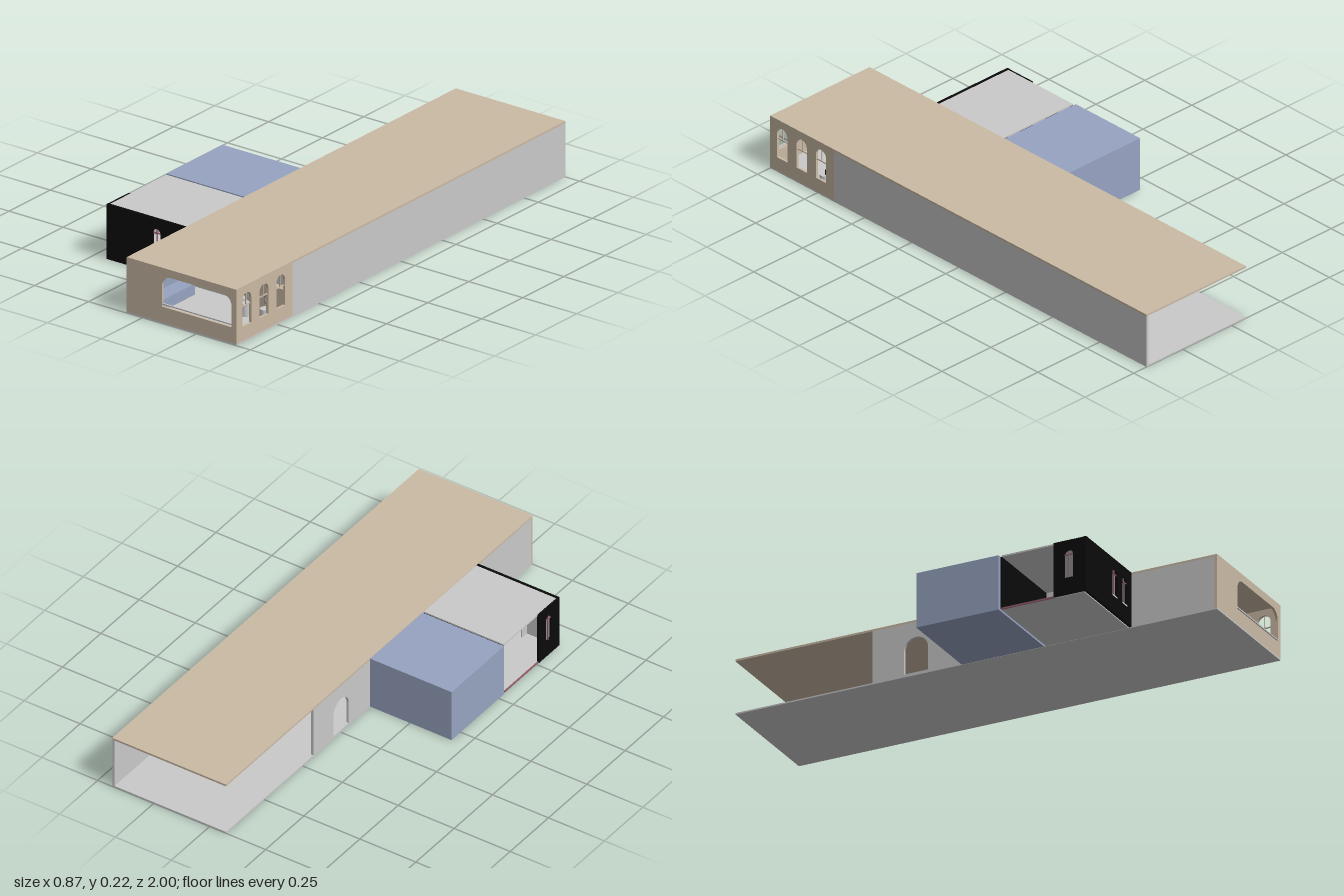
import * as THREE from 'three';

const mat = (name, color) => {
  const m = new THREE.MeshStandardMaterial({ color });
  m.name = name;
  return m;
};

export function createModel() {
  const tan = mat('tan plaster', 0xcbbaa5), grey = mat('light grey', 0xc9c9c9);
  const blue = mat('slate blue', 0x97a3c1), black = mat('black', 0x0a0a0a);
  const pink = mat('dusty pink', 0x96606e), white = mat('off white', 0xeeeae6);
  const root = new THREE.Group();

  const add = (name, geo, material) => {
    const mesh = new THREE.Mesh(geo, material);
    mesh.name = name;
    root.add(mesh);
    return mesh;
  };
  // Box given by its minimum and maximum corners
  const box = (name, m, x0, x1, y0, y1, z0, z1) => {
    const b = add(name, new THREE.BoxGeometry(x1 - x0, y1 - y0, z1 - z0), m);
    b.position.set((x0 + x1) / 2, (y0 + y1) / 2, (z0 + z1) / 2);
    return b;
  };
  // Round-topped opening
  const arch = (c, half, y0, top) => {
    const p = new THREE.Path();
    p.moveTo(c - half, y0);
    p.lineTo(c + half, y0);
    p.lineTo(c + half, top - half);
    p.absarc(c, top - half, half, 0, Math.PI, false);
    p.lineTo(c - half, y0);
    return p;
  };
  const panel = (u0, u1, y0, y1, holes, depth) => {
    const s = new THREE.Shape();
    s.moveTo(u0, y0);
    s.lineTo(u1, y0);
    s.lineTo(u1, y1);
    s.lineTo(u0, y1);
    s.closePath();
    s.holes.push(...holes);
    return new THREE.ExtrudeGeometry(s, { depth, bevelEnabled: false, curveSegments: 10 });
  };
  // Wall across x, its back at z
  const wallX = (name, m, x0, x1, y0, y1, z, holes = [], depth = 0.01) => {
    add(name, panel(x0, x1, y0, y1, holes, depth), m).position.z = z;
  };
  // Wall along z, its +x face at x
  const wallZ = (name, m, z0, z1, y0, y1, x, holes = [], depth = 0.01) => {
    const w = add(name, panel(z0, z1, y0, y1, holes, depth), m);
    w.rotation.y = -Math.PI / 2;
    w.position.x = x;
  };

  const L = -0.073, R = 0.435, H = 0.224, T = 0.216, F = 0.006;

  // Long hall, open at the back and along the rear of one side
  box('hallFloor', grey, L, R, 0, F, -1, 1);
  box('hallRoof', tan, L, R, T, H, -1, 1);
  wallZ('hallSideWall', grey, -1, 0.66, F, T, R);
  wallZ('hallInnerWall', grey, -0.43, 0.99, F, T, L + 0.01, [arch(-0.25, 0.05, 0.012, 0.155)]);

  // Front wall with the wide window
  const wide = new THREE.Path();
  wide.moveTo(0.09, 0.068);
  wide.lineTo(0.413, 0.068);
  wide.lineTo(0.413, 0.152);
  wide.absarc(0.373, 0.152, 0.04, 0, Math.PI / 2, false);
  wide.lineTo(0.13, 0.192);
  wide.absarc(0.13, 0.152, 0.04, Math.PI / 2, Math.PI, false);
  wide.lineTo(0.09, 0.068);
  wallX('frontWall', tan, L, R, F, T, 0.99, [wide]);
  box('frontWindowRail', grey, 0.09, 0.413, 0.075, 0.08, 0.992, 0.998);

  // Side wall with three arched windows and their bars
  const centres = [0.73, 0.832, 0.936];
  wallZ('windowWall', tan, 0.66, 0.99, F, T, R, centres.map(c => arch(c, 0.027, 0.062, 0.192)));
  for (const c of centres) {
    box('windowCrossbar', tan, R - 0.007, R - 0.003, 0.14, 0.144, c - 0.027, c + 0.027);
    box('windowMullion', tan, R - 0.007, R - 0.003, 0.144, 0.191, c - 0.0015, c + 0.0015);
  }

  // Partition with a wide round archway
  const doorway = new THREE.Path();
  doorway.moveTo(0.115, 0.012);
  doorway.lineTo(0.248, 0.012);
  doorway.lineTo(0.248, 0.09);
  doorway.absellipse(0.1815, 0.09, 0.0665, 0.084, 0, Math.PI, false);
  doorway.lineTo(0.115, 0.012);
  wallX('partition', grey, L + 0.01, R - 0.01, F, T, 0.65, [doorway]);

  // Furniture in the front room
  box('counter', tan, 0.25, R - 0.01, F, 0.115, 0.66, 0.69);
  box('sofaSeat', blue, L + 0.012, 0.03, F, 0.05, 0.72, 0.94);
  box('sofaBack', blue, L + 0.012, -0.035, 0.05, 0.1, 0.72, 0.94);
  for (const x of [0.295, 0.385]) {
    const seat = add('chairSeat', new THREE.CylinderGeometry(0.02, 0.02, 0.05, 20), grey);
    seat.position.set(x, F + 0.025, 0.76);
    const back = add('chairBack', new THREE.CylinderGeometry(0.019, 0.019, 0.005, 24), grey);
    back.rotation.x = Math.PI / 2;
    back.position.set(x, 0.08, 0.738);
    add('chairRim', new THREE.TorusGeometry(0.019, 0.0025, 8, 28), black).position.set(x, 0.08, 0.738);
  }

  // Closed blue side room
  box('blueRoom', blue, -0.437, L, 0.001, 0.222, -0.06, 0.282);

  // Grey side room, partly open on its outer side
  const A = -0.43;
  box('annexFloor', grey, A, L, 0.001, F, 0.29, 0.633);
  box('annexRoof', grey, A, L, T, 0.222, 0.29, 0.633);
  box('annexBackWall', black, A, L, F, T, 0.286, 0.292);
  const slots = [-0.206, -0.128];
  const slotHoles = slots.map(c => arch(c, 0.019, 0.07, 0.182));
  wallX('annexFrontWall', black, -0.437, L, 0.003, 0.223, 0.635, slotHoles);
  wallX('annexFrontLining', grey, A, L, F, T, 0.631, slotHoles, 0.004);
  wallZ('annexSideWall', black, 0.51, 0.635, 0.003, 0.222, A + 0.001, [arch(0.572, 0.018, 0.07, 0.182)], 0.008);
  box('annexThreshold', pink, A - 0.004, A, 0.001, 0.008, 0.29, 0.51);

  // Slim window frames of the side room
  for (const c of slots) {
    box('slotCrossbar', pink, c - 0.019, c + 0.019, 0.162, 0.166, 0.638, 0.642);
    box('slotMullion', pink, c - 0.0015, c + 0.0015, 0.074, 0.18, 0.638, 0.642);
    box('slotSill', white, c - 0.019, c + 0.019, 0.07, 0.075, 0.636, 0.646);
  }
  box('sideSlotCrossbar', pink, A - 0.005, A - 0.001, 0.162, 0.166, 0.554, 0.59);
  box('sideSlotMullion', pink, A - 0.005, A - 0.001, 0.07, 0.18, 0.5705, 0.5735);

  // Shelf frame and bench inside the side room
  for (const y of [0.06, 0.19]) box('shelfRail', grey, -0.3, L, y, y + 0.006, 0.6, 0.631);
  for (const x of [-0.3, -0.17]) box('shelfPost', grey, x, x + 0.006, F, 0.19, 0.6, 0.631);
  box('bench', grey, -0.26, L, F, 0.045, 0.53, 0.6);

  return root;
}
